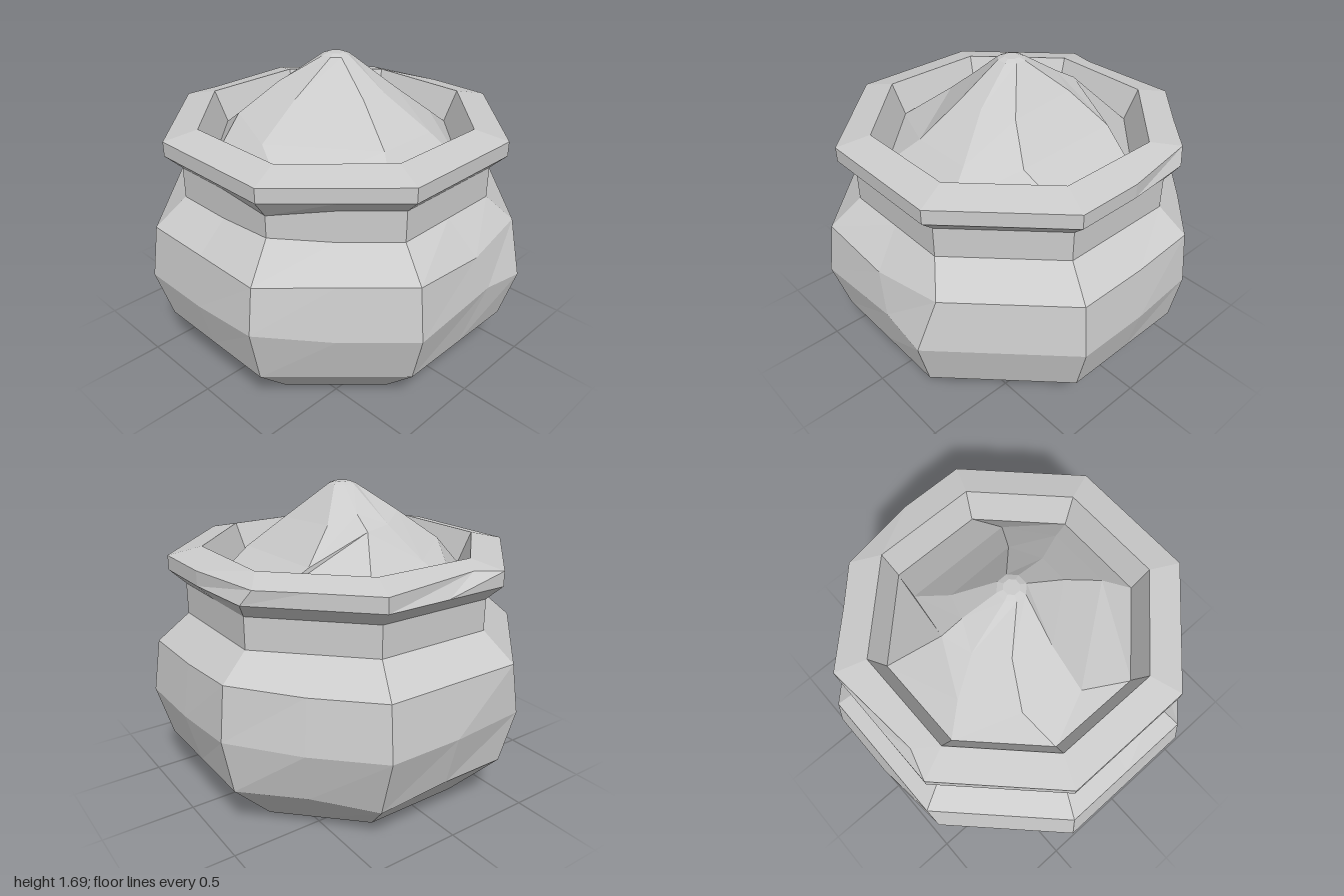
import * as THREE from 'three';

// Skin a stack of closed rings of points [x, y, z] with flat quads.
function loft(rings, name, capBottom, capTop) {
  const n = rings[0].length;
  const index = [];
  const pos = rings.flat(2);
  for (let r = 0; r < rings.length - 1; r++) {
    for (let i = 0; i < n; i++) {
      const a = r * n + i, b = r * n + (i + 1) % n;
      index.push(a, b, b + n, a, b + n, a + n);
    }
  }
  const top = (rings.length - 1) * n;
  for (let i = 1; i < n - 1; i++) {
    if (capBottom) index.push(0, i + 1, i);
    if (capTop) index.push(top, top + i, top + i + 1);
  }
  let geo = new THREE.BufferGeometry();
  geo.setAttribute('position', new THREE.Float32BufferAttribute(pos, 3));
  geo.setIndex(index);
  geo = geo.toNonIndexed();
  geo.computeVertexNormals();
  const mesh = new THREE.Mesh(geo, new THREE.MeshStandardMaterial({ color: 0xcccccc, flatShading: true }));
  mesh.name = name;
  return mesh;
}

// Octagon ring with flats facing the axes: corners and side midpoints alternate.
function octagon(apothem, y, withMidpoints) {
  const ring = [];
  for (let i = 0; i < 16; i++) {
    if (i % 2 && !withMidpoints) continue;
    const a = (i + 1) * Math.PI / 8;
    const r = i % 2 ? apothem : apothem / Math.cos(Math.PI / 8);
    ring.push([r * Math.sin(a), y, r * Math.cos(a)]);
  }
  return ring;
}

export function createModel() {
  const group = new THREE.Group();
  group.name = 'filledPot';

  // Pot profile: [half width, height], from foot over the rim and down inside
  const profile = [
    [0.675, 0], [0.925, 0.28], [1, 0.56], [0.96, 0.85], [0.8, 1],
    [0.8, 1.17], [0.88, 1.25], [0.88, 1.33], [0.71, 1.37], [0.64, 1.19],
  ];
  const pot = profile.map(([r, y]) => octagon(r, y, true));

  // Worn edges and chips: [ring, column, dx, dy, dz]
  const chips = [
    [3, 0, 0.06, 0, -0.06], [3, 15, 0.05, -0.04, -0.005], [2, 15, 0.14, 0.04, -0.01],
    [2, 12, 0, 0.04, 0], [4, 12, 0, 0.025, 0], [5, 12, 0, -0.025, 0],
    [7, 4, -0.07, 0, -0.08], [6, 4, -0.03, 0, -0.03],
    [7, 7, -0.2, 0.015, 0.05], [2, 8, -0.04, 0, 0.04],
    [2, 4, -0.02, 0.015, 0.03], [3, 4, -0.01, 0.02, 0.02], [1, 6, 0, -0.06, 0.04],
  ];
  for (const [ring, col, ...d] of chips) d.forEach((v, k) => { pot[ring][col][k] += v; });
  group.add(loft(pot, 'pot', true, false));

  // Uneven heap of contents rising to a small blunt tip
  const lower = [
    [0.2, 1.32, 0.5], [0.43, 1.33, 0.31], [0.42, 1.34, -0.31], [0.1, 1.49, -0.37],
    [-0.16, 1.33, -0.5], [-0.43, 1.38, -0.31], [-0.53, 1.32, 0], [-0.16, 1.32, 0.5],
  ];
  const upper = [
    [0.08, 1.51, 0.28], [0.25, 1.49, 0.2], [0.23, 1.51, -0.2], [0.08, 1.56, -0.25],
    [-0.07, 1.5, -0.32], [-0.23, 1.54, -0.2], [-0.3, 1.5, 0], [-0.08, 1.51, 0.28],
  ];
  const heap = [octagon(0.645, 1.19), lower, upper, octagon(0.07, 1.68), octagon(0.04, 1.692)];
  group.add(loft(heap, 'heap', false, true));

  return group;
}
